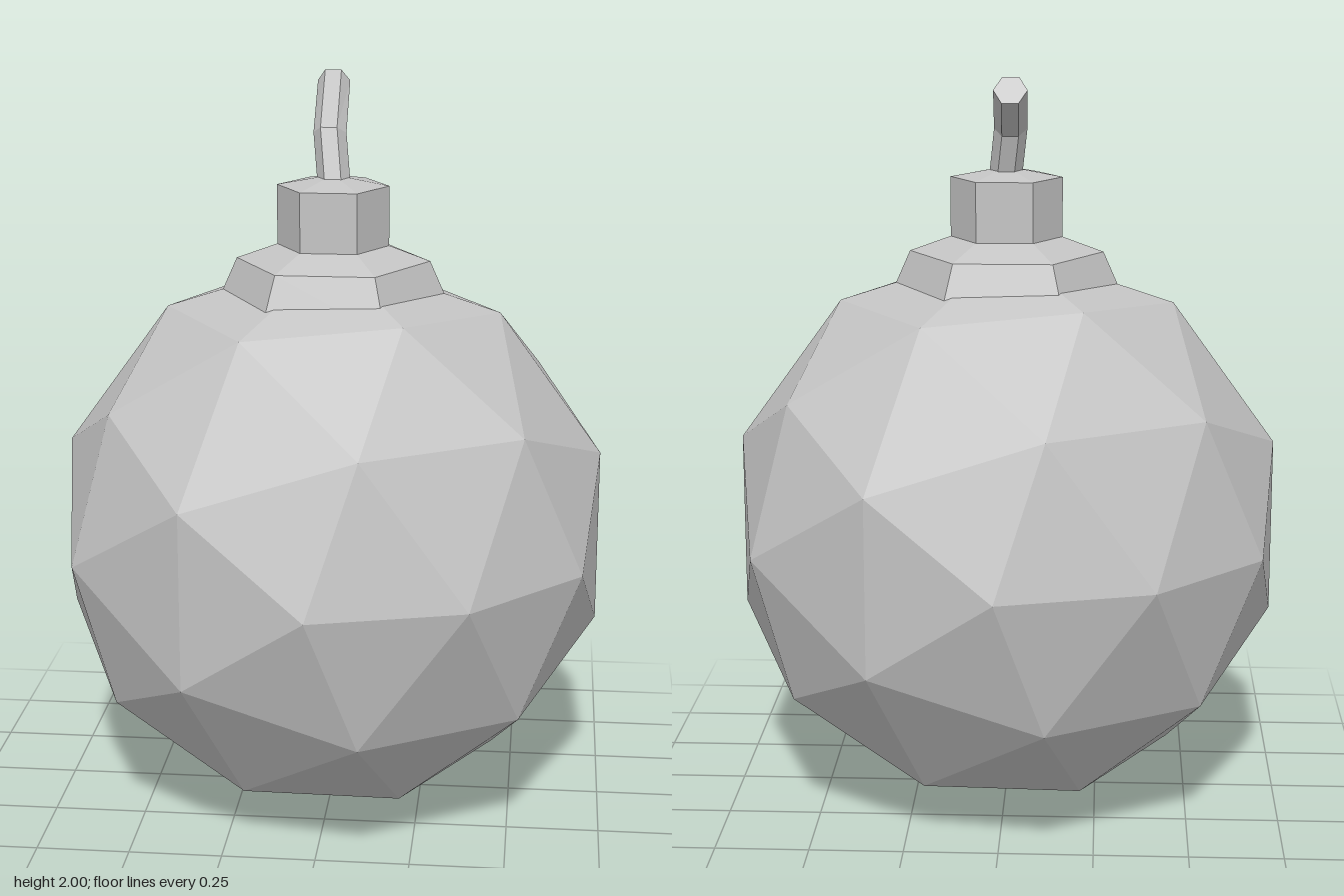
import * as THREE from 'three';

const iron = new THREE.MeshStandardMaterial({ color: 0xc4c4c4 });
iron.name = 'grey iron';

// Faceted mesh: unshared corners give one normal per face
function facetedMesh(name, geometry) {
  const flat = geometry.index ? geometry.toNonIndexed() : geometry;
  flat.computeVertexNormals();
  const mesh = new THREE.Mesh(flat, iron);
  mesh.name = name;
  return mesh;
}

// Six-sided turned part with corners on the x axis; profile runs bottom to top
function hexTurned(name, profile) {
  const points = profile.map(([r, y]) => new THREE.Vector2(r, y));
  return facetedMesh(name, new THREE.LatheGeometry(points, 6, Math.PI / 2));
}

// Bent six-sided cord: each ring of a cylinder is moved to its station
function bentFuse() {
  const stations = [
    { c: [0.005, 1.70, 0.008], n: [0.33, 0.945] },
    { c: [-0.013, 1.853, -0.046], n: [0.475, 0.88] },
    { c: [-0.02, 1.968, -0.232], n: [0.82, 0.57] },
  ];
  const geometry = new THREE.CylinderGeometry(0.044, 0.044, 2, 6, 2, false, Math.PI / 2);
  const pos = geometry.attributes.position;
  for (let i = 0; i < pos.count; i++) {
    const { c, n } = stations[Math.round(pos.getY(i)) + 1];
    const x = pos.getX(i), d = pos.getZ(i);
    pos.setXYZ(i, c[0] + x, c[1] + d * n[0], c[2] + d * n[1]);
  }
  return facetedMesh('fuse', geometry);
}

export function createModel() {
  const group = new THREE.Group();
  group.name = 'roundBomb';

  // Faceted ball
  const radius = 0.765;
  const ball = facetedMesh('body', new THREE.IcosahedronGeometry(radius, 1));
  ball.rotation.y = -THREE.MathUtils.degToRad(58.28);
  ball.position.y = radius;
  group.add(ball);

  // Collar flange, sunk into the ball
  group.add(hexTurned('collar', [[0, 1.38], [0.322, 1.38], [0.26, 1.52], [0.15, 1.56], [0, 1.56]]));

  // Neck with a shallow pointed cap
  group.add(hexTurned('neck', [[0.15, 1.56], [0.15, 1.72], [0, 1.748]]));

  group.add(bentFuse());
  return group;
}
